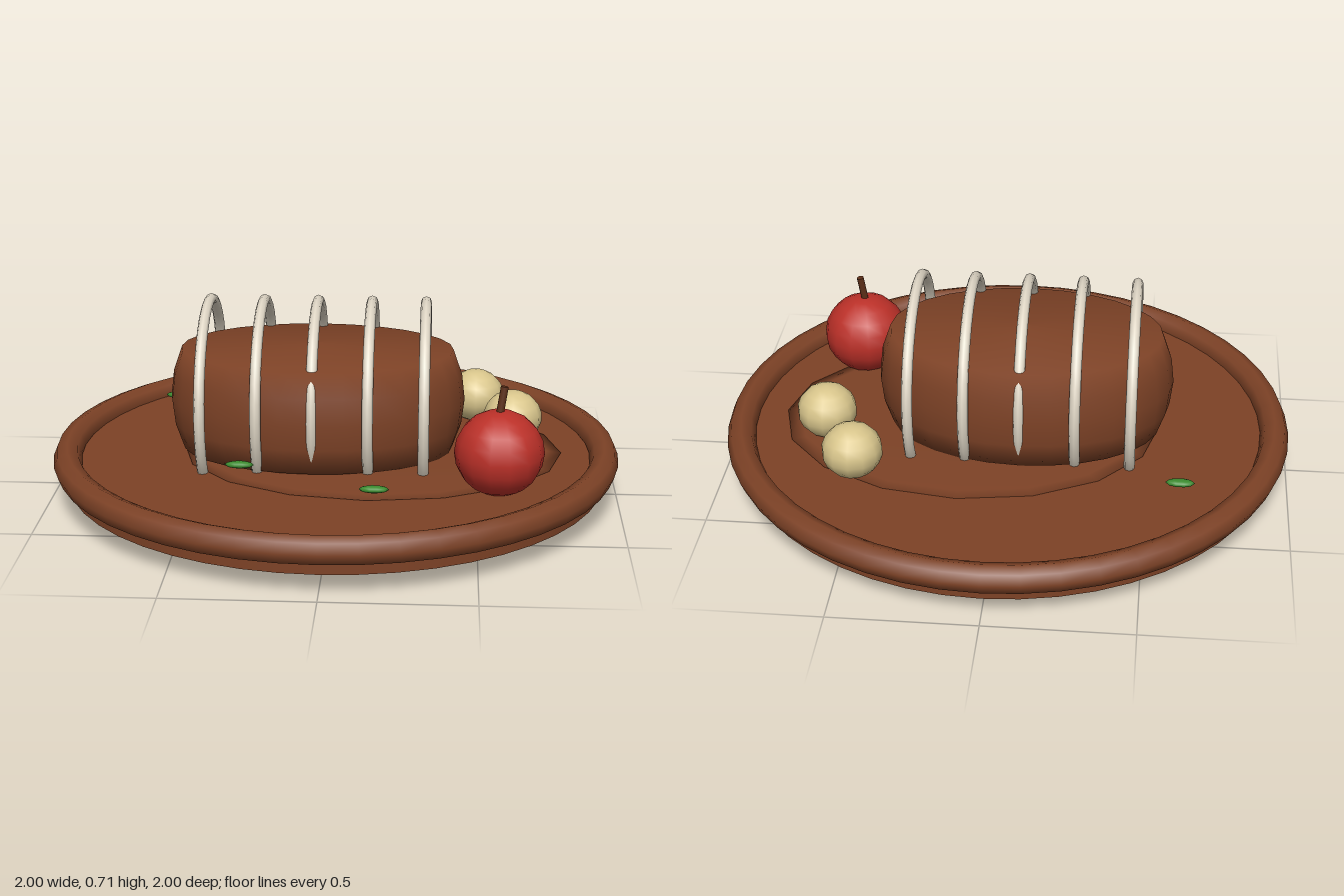
import * as THREE from 'three';

const mat = (name, color) => {
  const m = new THREE.MeshStandardMaterial({ color });
  m.name = name;
  return m;
};

export function createModel() {
  const brown = mat('roasted brown', 0x7d4226);
  const bone = mat('bone white', 0xe0d7c6);
  const red = mat('apple red', 0xbb3028);
  const cream = mat('potato cream', 0xd9c68c);
  const green = mat('herb green', 0x3a8a2e);
  const bark = mat('stem brown', 0x5e3019);

  const model = new THREE.Group();
  model.name = 'roastPlatter';
  const add = (name, geometry, material, x, y, z) => {
    const mesh = new THREE.Mesh(geometry, material);
    mesh.name = name;
    mesh.position.set(x, y, z);
    model.add(mesh);
    return mesh;
  };
  const ellipsoid = (rx, ry, rz, w, h) => new THREE.SphereGeometry(1, w, h).scale(rx, ry, rz);

  // Round platter with a raised rim
  add('platter', new THREE.CylinderGeometry(0.95, 0.95, 0.08, 48), brown, 0, 0.112, 0);
  add('platterRim', new THREE.TorusGeometry(0.95, 0.05, 8, 48).rotateX(Math.PI / 2), brown, 0, 0.155, 0);

  // Shallow pool of gravy
  add('gravy', ellipsoid(0.67, 0.015, 0.515, 16, 8), brown, 0.13, 0.155, 0);

  // Barrel-shaped roast
  const profile = [[0, -0.2], [0.92, -0.18], [0.98, -0.09], [1, 0], [0.98, 0.09], [0.92, 0.18], [0, 0.2]]
    .map(([r, y]) => new THREE.Vector2(r, y));
  const roast = new THREE.LatheGeometry(profile, 28).scale(0.52, 1, 0.342);
  add('roast', roast, brown, -0.065, 0.35, 0);

  // Rib hoops around the roast
  for (let i = 0; i < 5; i++) {
    const hoop = new THREE.TorusGeometry(0.335, 0.019, 8, 32).rotateY(Math.PI / 2);
    add('rib' + (i + 1), hoop, bone, -0.445 + i * 0.19, 0.356, 0);
  }

  // Apple and its stem
  add('apple', ellipsoid(0.152, 0.147, 0.152, 14, 10), red, 0.57, 0.285, 0.378);
  const stem = add('appleStem', new THREE.CylinderGeometry(0.013, 0.013, 0.11, 8), bark, 0.574, 0.46, 0.375);
  stem.rotation.set(-0.08, 0, -0.15);

  // Potatoes
  for (const [x, z] of [[0.5, -0.382], [0.63, -0.128]]) {
    add('potato', ellipsoid(0.106, 0.097, 0.106, 12, 9), cream, x, 0.245, z);
  }

  // Herb leaves
  for (const [x, z] of [[-0.62, -0.43], [-0.31, 0.335], [0.157, 0.547]]) {
    add('herbLeaf', ellipsoid(0.05, 0.012, 0.021, 10, 6), green, x, 0.208, z);
  }

  return model;
}
